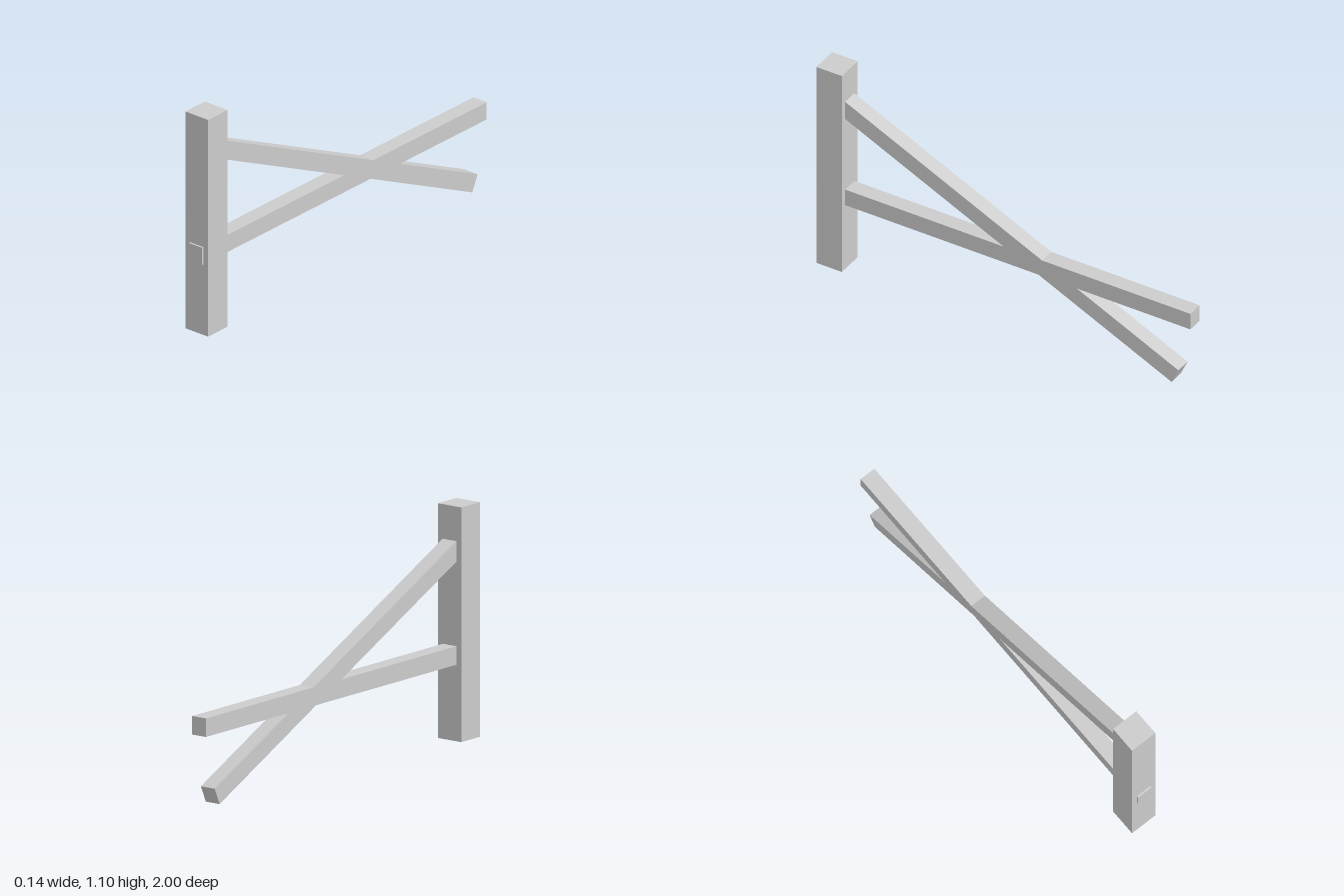
import * as THREE from 'three';

export function createModel() {
  const group = new THREE.Group();
  const grey = new THREE.MeshStandardMaterial({ color: 0xcccccc });
  grey.name = 'light grey';

  const bar = (name, w, h, d, y, z) => {
    const mesh = new THREE.Mesh(new THREE.BoxGeometry(w, h, d), grey);
    mesh.name = name;
    mesh.position.set(0, y, z);
    group.add(mesh);
    return mesh;
  };

  // Upright post at the front
  bar('post', 0.137, 1.1, 0.137, 0.55, 0.922);

  // Horizontal beam, its tenon just proud of the post's front face
  bar('beam', 0.08, 0.087, 2, 0.402, 0);

  // Diagonal brace crossing the beam, from inside the post down to the back
  const low = new THREE.Vector2(-0.917, 0.065); // z, y
  const high = new THREE.Vector2(0.92, 0.921);
  const mid = low.clone().add(high).multiplyScalar(0.5);
  const brace = bar('brace', 0.08, 0.087, low.distanceTo(high), mid.y, mid.x);
  brace.rotation.x = -high.clone().sub(low).angle();

  return group;
}
